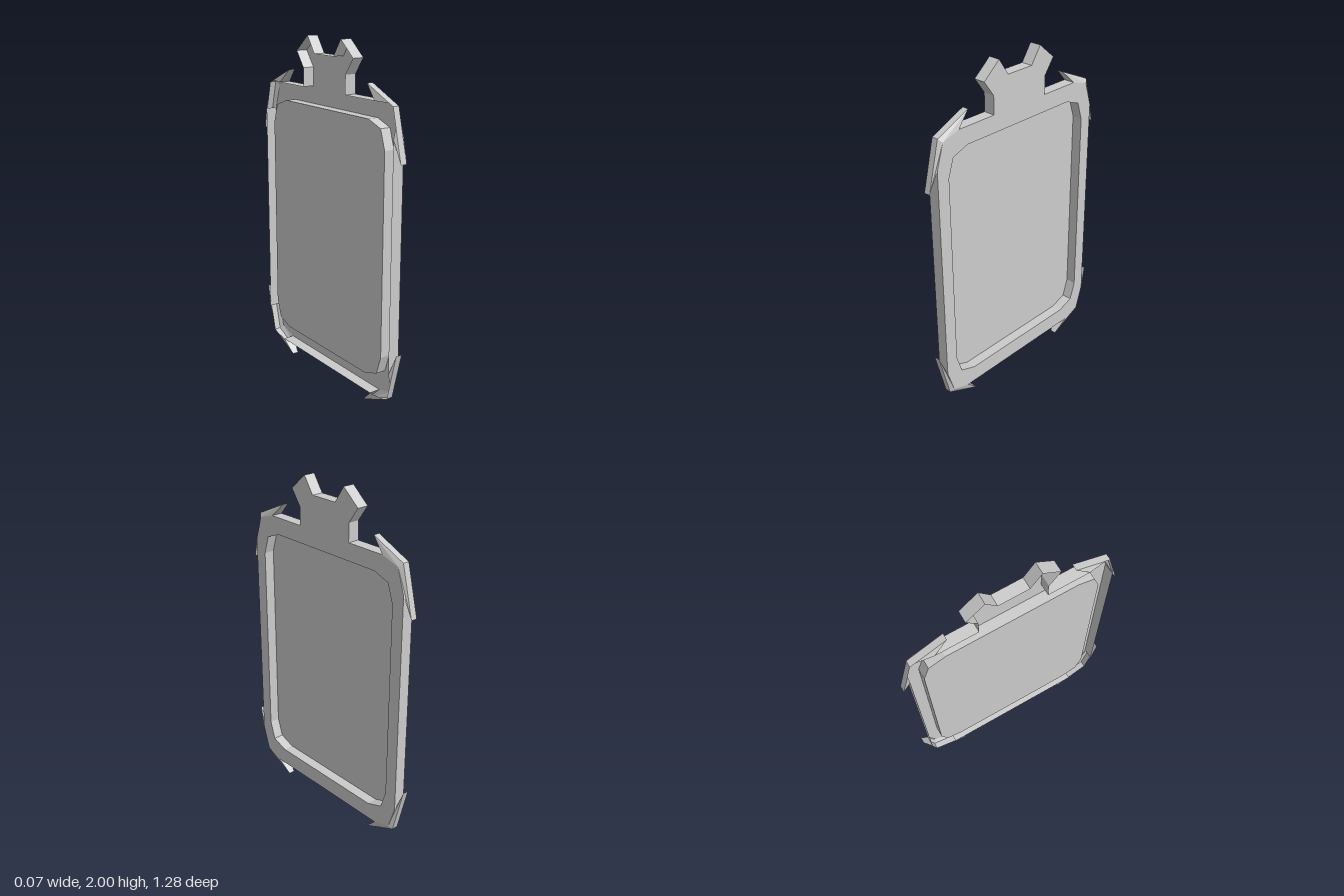
import * as THREE from 'three';

const material = new THREE.MeshStandardMaterial({ color: 0xcccccc, flatShading: true, side: THREE.DoubleSide });

const FRONT = 0.034, BACK = -0.034;        // thickness of the frame along x
const RIM_FRONT = 0.018, RIM_BACK = -0.02; // narrower rim of the corner guards
const FLOOR = -0.027;                      // depth of the recessed panel
const MID = 0.897;                         // height about which the frame mirrors

// Profiles are [z, y] points; these put them in space
const at = (p, x) => [x, p[1], p[0]];
const mirrorZ = ([z, y]) => [-z, y];
const mirrorY = ([z, y]) => [z, 2 * MID - y];

// Mesh made of flat convex polygons
function polygonMesh(name, polygons) {
  const pos = [];
  for (const p of polygons)
    for (let i = 1; i < p.length - 1; i++) pos.push(...p[0], ...p[i], ...p[i + 1]);
  const g = new THREE.BufferGeometry();
  g.setAttribute('position', new THREE.Float32BufferAttribute(pos, 3));
  g.computeVertexNormals();
  const m = new THREE.Mesh(g, material);
  m.name = name;
  return m;
}

// Strip of wall between two profile points
const wall = (a, b, x0, x1) => [at(a, x0), at(b, x0), at(b, x1), at(a, x1)];

// Flat face in the z-y plane, facing +x
function faceMesh(name, outline, x, hole) {
  const toVec = ([z, y]) => new THREE.Vector2(-z, y);
  const shape = new THREE.Shape(outline.map(toVec));
  if (hole) shape.holes.push(new THREE.Path(hole.map(toVec)));
  const g = new THREE.ShapeGeometry(shape).rotateY(Math.PI / 2).translate(x, 0, 0);
  const m = new THREE.Mesh(g, material);
  m.name = name;
  return m;
}

// Full ring from the points of the upper +z quarter, listed from side to top
function ringFromQuarter(q) {
  const half = [...q, ...q.map(mirrorZ).reverse()];
  return [...half, ...half.map(mirrorY).reverse()];
}

export function createModel() {
  const group = new THREE.Group();

  // Corner profile: D, E, F on the frame; A, B, C on the outer rim of the guard
  const D = [0.595, 1.54], E = [0.55, 1.68], F = [0.44, 1.714];
  const A = [0.64, 1.417], B = [0.57, 1.7], C = [0.36, 1.794];
  const P = [0.595, 1.599], Q = [0.539, 1.714]; // where the rim leaves the frame edge

  // Two-pronged crest on top
  const prong = [[0.195, 1.714], [0.195, 1.82], [0.26, 1.91], [0.153, 2], [0.088, 1.905]];
  const crest = [...prong, ...prong.map(mirrorZ).reverse()];

  const upper = [D, E, F, ...crest, ...[D, E, F].map(mirrorZ).reverse()];
  const lower = [D, E, F].map(mirrorY).reverse();
  const outline = [...upper, ...lower.map(mirrorZ).reverse(), ...lower];
  const recess = ringFromQuarter([[0.52, 1.47], [0.485, 1.578], [0.385, 1.614]]);

  // Front plate with its opening, and the sunken panel
  group.add(faceMesh('framePlate', outline, FRONT, recess));
  group.add(faceMesh('sunkenPanel', recess, FLOOR));
  group.add(polygonMesh('recessWalls',
    recess.map((p, i) => wall(p, recess[(i + 1) % recess.length], FLOOR, FRONT))));

  // Outer walls; the back stays open and the guards close the corners
  const rails = [[F, ...crest, mirrorZ(F)], [mirrorY(F), mirrorZ(mirrorY(F))], [D, mirrorY(D)],
    [mirrorZ(D), mirrorZ(mirrorY(D))]];
  group.add(polygonMesh('outerWalls',
    rails.flatMap(r => r.slice(1).map((p, i) => wall(r[i], p, BACK, FRONT)))));

  // Spiked corner guards
  const same = p => p;
  for (const [side, fz] of [['Front', same], ['Rear', mirrorZ]]) {
    for (const [level, fy] of [['upper', same], ['lower', mirrorY]]) {
      const [a, b, c, d, e, f, p, q] = [A, B, C, D, E, F, P, Q].map(v => fz(fy(v)));
      const polygons = [];
      for (const [tip, root, cut] of [[a, d, p], [c, f, q]]) {
        polygons.push(
          wall(tip, b, RIM_BACK, RIM_FRONT),                                               // rim
          [at(tip, RIM_FRONT), at(b, RIM_FRONT), at(e, FRONT), at(root, FRONT)],           // front bevel
          [at(tip, RIM_BACK), at(tip, RIM_FRONT), at(root, FRONT), at(root, BACK)],        // inner edge
          [at(tip, RIM_BACK), at(root, BACK), at(cut, RIM_BACK)]);                         // back bevel
      }
      group.add(polygonMesh(`${level}${side}CornerGuard`, polygons));
    }
  }
  return group;
}
